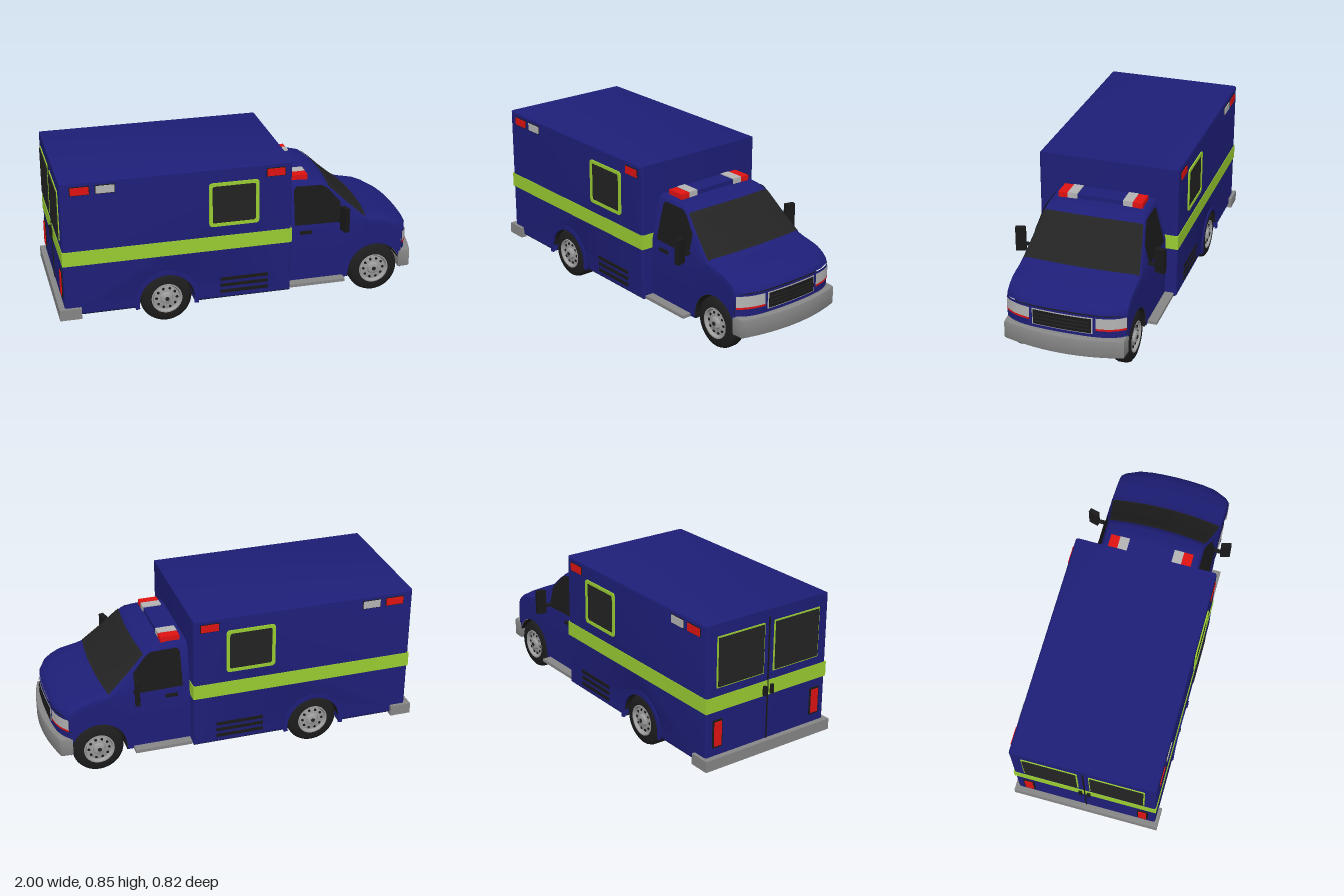
import * as THREE from 'three';
import { toCreasedNormals } from 'three/addons/utils/BufferGeometryUtils.js';

export function createModel() {
  const root = new THREE.Group();
  root.name = 'ambulance';
  const mat = (name, color) => {
    const m = new THREE.MeshStandardMaterial({ color });
    m.name = name;
    return m;
  };
  const blue = mat('blue paint', 0x1e1e78), lime = mat('lime stripe', 0x9acd32);
  const glass = mat('dark glass', 0x232323), black = mat('black trim', 0x191919);
  const tyreMat = mat('tyre rubber', 0x1d1d1d), steel = mat('steel', 0x9c9c9c);
  const grey = mat('bumper grey', 0x868686), lamp = mat('clear lamp', 0xb4b4b4);
  const red = mat('red lamp', 0xe01212);
  black.side = THREE.DoubleSide;

  const add = (name, geo, m, parent = root) => {
    const mesh = new THREE.Mesh(geo, m);
    mesh.name = name;
    parent.add(mesh);
    return mesh;
  };
  const box = (name, m, [x0, x1], [y0, y1], [z0, z1]) => {
    const g = new THREE.BoxGeometry(x1 - x0, y1 - y0, Math.abs(z1 - z0));
    return add(name, g.translate((x0 + x1) / 2, (y0 + y1) / 2, (z0 + z1) / 2), m);
  };
  const both = fn => [1, -1].forEach(fn);
  const sideBox = (name, m, xs, ys, [z0, z1]) => both(s => box(name, m, xs, ys, [z0 * s, z1 * s]));
  const clamp = THREE.MathUtils.clamp;
  const ramp = (x, a, b) => clamp((x - a) / (b - a), 0, 1);

  const REAR = -0.43, FRONT = 0.745, AXLE = 0.14, ARCH = 0.15;

  // Rear body: side outline with wheel arch, extruded across
  const b = 0.012;
  const outline = new THREE.Shape();
  outline.moveTo(-0.97, 0.105);
  outline.lineTo(REAR - ARCH, 0.105);
  outline.lineTo(REAR - ARCH, AXLE);
  outline.absarc(REAR, AXLE, ARCH, Math.PI, 0, true);
  outline.lineTo(REAR + ARCH, 0.105);
  outline.lineTo(0.245, 0.105);
  outline.lineTo(0.245, 0.85);
  outline.lineTo(-0.97, 0.85);
  const bodyGeo = new THREE.ExtrudeGeometry(outline, {
    depth: 0.77 - 2 * b, bevelSize: b, bevelThickness: b, bevelOffset: -b, bevelSegments: 3, curveSegments: 24,
  }).translate(0, 0, -0.385 + b);
  add('rearBody', toCreasedNormals(bodyGeo, 0.6), blue);
  box('stripe', lime, [-0.973, 0.248], [0.39, 0.47], [-0.388, 0.388]);

  // Cab: cross-sections lofted along x
  const profile = [[0.23, 0.68], [0.33, 0.68], [0.42, 0.674], [0.48, 0.66], [0.515, 0.635], [0.6, 0.555], [0.7, 0.47],
    [0.74, 0.455], [0.84, 0.432], [0.91, 0.408], [0.95, 0.385], [0.965, 0.362]];
  const topY = x => {
    const i = clamp(profile.findIndex(p => p[0] >= x), 1, profile.length - 1);
    const [p, q] = [profile[i - 1], profile[i]];
    return THREE.MathUtils.lerp(p[1], q[1], ramp(x, p[0], q[0]));
  };
  const halfWidth = y => 0.32 * (1 - 0.72 * Math.max(0, y - 0.44));
  const bow = (x, z) => {
    const u = Math.abs(z) / 0.32;
    return 0.025 * u * u * ramp(x, 0.4, 0.5) + 0.045 * u ** 6 * ramp(x, 0.85, 0.965);
  };
  const bottomY = x => {
    const d = x - bow(x, 0.32) - FRONT;
    return Math.abs(d) < ARCH ? AXLE + Math.sqrt(ARCH * ARCH - d * d) : d < 0 ? 0.11 : 0.13;
  };
  const r = 0.024;
  const section = (x, sill = true) => {
    const t = topY(x), w = halfWidth(t), half = [];
    if (sill) {
      const yb = bottomY(x), belt = Math.min(0.44, t - 0.05);
      half.push([yb, 0.32], [(yb + belt) / 2, 0.32], [belt, 0.32], [t - r, halfWidth(t - r)]);
    }
    half.push([t - 0.5 * r, w - 0.13 * r]);
    [1, 0.75, 0.5, 0.25].forEach(f => half.push([t - 0.005 * f * f, (w - r) * f]));
    const pts = [...half, [t, 0], ...half.map(([y, z]) => [y, -z]).reverse()];
    return pts.map(([y, z]) => [x - bow(x, z), y, z]);
  };
  const loft = rings => {
    const n = rings[0].length, idx = [];
    for (let i = 0; i < rings.length - 1; i++) {
      for (let j = 0; j < n - 1; j++) {
        const a = i * n + j, c = a + n;
        idx.push(a, c, a + 1, c, c + 1, a + 1);
      }
    }
    const g = new THREE.BufferGeometry();
    g.setAttribute('position', new THREE.Float32BufferAttribute(rings.flat(2), 3));
    g.setIndex(idx);
    return toCreasedNormals(g, 0.6);
  };
  const stations = Array.from({ length: 106 }, (_, i) => 0.23 + 0.007 * i);
  add('cab', loft(stations.map(x => section(x))), blue);
  const screen = stations.filter(x => x > 0.492 && x < 0.708).map(x => section(x, false)
    .map(([px, y, z]) => [px + 0.003, y + 0.003, z * 1.004]));
  add('windscreen', loft(screen), glass);

  // Nose and its details follow the same bowed front
  const bent = (name, m, [z0, z1], [y0, y1], off) => {
    const g = new THREE.PlaneGeometry(z1 - z0, y1 - y0, 24, 6).rotateY(Math.PI / 2);
    g.translate(0, (y0 + y1) / 2, (z0 + z1) / 2);
    const p = g.attributes.position;
    for (let i = 0; i < p.count; i++) p.setX(i, 0.965 + off - bow(0.965, p.getZ(i)));
    g.computeVertexNormals();
    return add(name, g, m);
  };
  bent('nose', blue, [-0.319, 0.319], [0.13, 0.355], 0);
  bent('grilleFrame', lamp, [-0.16, 0.16], [0.254, 0.346], 0.004);
  bent('grille', black, [-0.154, 0.154], [0.259, 0.341], 0.007);
  [0.28, 0.3, 0.32].forEach(y => bent('grilleBar', glass, [-0.145, 0.145], [y - 0.004, y + 0.004], 0.01));
  both(s => {
    const span = (a, c) => (s > 0 ? [a, c] : [-c, -a]);
    bent('headlight', lamp, span(0.175, 0.318), [0.286, 0.346], 0.005);
    bent('headlightStrip', red, span(0.175, 0.318), [0.275, 0.286], 0.005);
  });

  // Front bumper
  const plan = new THREE.Shape();
  plan.moveTo(0.885, 0.322);
  plan.lineTo(0.95, 0.318);
  plan.quadraticCurveTo(1.05, 0, 0.95, -0.318);
  plan.lineTo(0.885, -0.322);
  const bumper = new THREE.ExtrudeGeometry(plan, {
    depth: 0.085, bevelSize: 0.01, bevelThickness: 0.01, bevelOffset: -0.01, bevelSegments: 2, curveSegments: 20,
  });
  add('frontBumper', toCreasedNormals(bumper.rotateX(-Math.PI / 2).translate(0, 0.14, 0), 0.6), grey);

  // Rear bumper, running boards, floor
  box('rearBumper', grey, [-1, -0.965], [0.09, 0.15], [-0.4, 0.4]);
  sideBox('bumperEnd', grey, [-1, -0.885], [0.09, 0.15], [0.37, 0.403]);
  sideBox('runningBoard', grey, [0.25, 0.56], [0.108, 0.125], [0.28, 0.37]);
  box('rearFloor', black, [-0.96, REAR - ARCH], [0.102, 0.11], [-0.375, 0.375]);
  box('midFloor', black, [REAR + ARCH, 0.242], [0.102, 0.11], [-0.375, 0.375]);
  box('axleTunnel', black, [REAR - 0.16, REAR + 0.16], [0.102, 0.31], [-0.21, 0.21]);
  box('cabFloor', black, [0.24, FRONT - ARCH], [0.108, 0.13], [-0.315, 0.315]);
  box('engineBay', black, [0.55, 0.93], [0.11, 0.34], [-0.21, 0.21]);

  // Wheels and arches
  const tyrePts = (w) => [[0.08, 0], [0.085, 0], [0.118, 0.004], [0.132, 0.014], [0.138, 0.03], [0.138, w - 0.03],
    [0.132, w - 0.014], [0.118, w - 0.004], [0.085, w], [0.08, w - 0.01], [0.078, w - 0.025]];
  const lathe = pts => toCreasedNormals(new THREE.LatheGeometry(
    pts.map(p => new THREE.Vector2(...p)), 40).rotateX(Math.PI / 2), 0.7);
  const wheel = (x, outer, s) => {
    const g = new THREE.Group(), w = outer - 0.22;
    g.name = 'wheel';
    add('tyre', lathe(tyrePts(w)), tyreMat, g);
    add('rim', lathe([[0.084, w - 0.012], [0.082, w], [0.076, w], [0.068, w - 0.016], [0.05, w - 0.012],
      [0.034, w - 0.01], [0.03, w], [0.022, w + 0.004], [0, w + 0.004]].reverse()), steel, g).material.side = THREE.DoubleSide;
    add('hubCap', new THREE.CylinderGeometry(0.011, 0.011, 0.004, 16).rotateX(Math.PI / 2)
      .translate(0, 0, w + 0.005), glass, g);
    for (let i = 0; i < 10; i++) {
      const a = i * Math.PI / 5;
      add('rimHole', new THREE.CylinderGeometry(0.007, 0.007, 0.006, 10).rotateX(Math.PI / 2)
        .translate(0.055 * Math.cos(a), 0.055 * Math.sin(a), w - 0.012), black, g);
    }
    g.position.set(x, 0.138, 0.22 * s);
    if (s < 0) g.rotation.y = Math.PI;
    root.add(g);
  };
  const flare = new THREE.Shape();
  flare.absarc(0, 0, 0.172, -0.2, Math.PI + 0.2, false);
  flare.absarc(0, 0, 0.149, Math.PI + 0.2, -0.2, true);
  both(s => {
    wheel(REAR, 0.382, s);
    wheel(FRONT, 0.318, s);
    [[REAR, 0.383], [FRONT, 0.318]].forEach(([x, z]) => {
      const d = z - 0.2;
      const liner = new THREE.CylinderGeometry(0.148, 0.148, d, 32, 1, true, Math.PI / 2, Math.PI);
      add('archLiner', liner.rotateX(Math.PI / 2).translate(x, AXLE, s * (0.2 + d / 2)), black);
    });
    const f = new THREE.ExtrudeGeometry(flare, { depth: 0.01, bevelEnabled: false, curveSegments: 28 });
    add('rearFlare', f.translate(REAR, AXLE - 0.01, s > 0 ? 0.381 : -0.391), blue);
  });

  // Side windows of the rear body, with frames
  const rounded = (w, h, c, S = THREE.Shape) => {
    const p = new S();
    p.absarc(w - c, h - c, c, 0, Math.PI / 2);
    p.absarc(c - w, h - c, c, Math.PI / 2, Math.PI);
    p.absarc(c - w, c - h, c, Math.PI, 1.5 * Math.PI);
    p.absarc(w - c, c - h, c, 1.5 * Math.PI, 2 * Math.PI);
    return p;
  };
  const frame = rounded(0.134, 0.122, 0.018);
  frame.holes.push(rounded(0.116, 0.104, 0.012, THREE.Path));
  both(s => {
    const g = new THREE.ExtrudeGeometry(frame, { depth: 0.008, bevelEnabled: false });
    add('windowFrame', g.translate(-0.067, 0.65, s > 0 ? 0.384 : -0.392), lime);
  });
  sideBox('bodyWindow', glass, [-0.185, 0.051], [0.544, 0.756], [0.382, 0.388]);

  // Marker lamps and vents
  [[-0.915, red], [-0.785, lamp], [0.11, red]].forEach(([x, m]) => {
    sideBox('markerSurround', black, [x - 0.004, x + 0.099], [0.778, 0.826], [0.382, 0.387]);
    sideBox('markerLamp', m, [x, x + 0.095], [0.782, 0.822], [0.383, 0.391]);
  });
  [0.145, 0.181, 0.217].forEach(y => sideBox('vent', black, [-0.14, 0.12], [y - 0.009, y + 0.009], [0.382, 0.389]));

  // Back doors: windows, lamps, seam, handles
  sideBox('backWindowFrame', lime, [-0.975, -0.968], [0.515, 0.785], [0.03, 0.325]);
  sideBox('backWindow', glass, [-0.98, -0.97], [0.522, 0.778], [0.037, 0.318]);
  sideBox('tailLampSurround', black, [-0.975, -0.968], [0.195, 0.345], [0.285, 0.345]);
  sideBox('tailLamp', red, [-0.98, -0.97], [0.205, 0.335], [0.293, 0.337]);
  box('doorSeam', black, [-0.975, -0.968], [0.15, 0.81], [-0.003, 0.003]);
  sideBox('doorLatch', black, [-0.984, -0.97], [0.395, 0.445], [0.014, 0.032]);

  // Cab door windows lie on the inward-leaning sides
  const pane = [[0.285, 0.45], [0.545, 0.445], [0.545, 0.555], [0.475, 0.633], [0.445, 0.652], [0.305, 0.655], [0.288, 0.64]];
  both(s => {
    const g = new THREE.ShapeGeometry(new THREE.Shape(pane.map(p => new THREE.Vector2(...p))));
    const p = g.attributes.position;
    for (let i = 0; i < p.count; i++) p.setZ(i, s * (halfWidth(p.getY(i)) + 0.004));
    g.computeVertexNormals();
    add('doorWindow', g, black);
    const m = box('mirror', black, [-0.013, 0.013], [-0.067, 0.067], [-0.027, 0.027]);
    m.position.set(0.545, 0.485, s * 0.38);
    m.rotation.y = s * 0.25;
  });
  sideBox('mirrorArm', black, [0.53, 0.55], [0.45, 0.462], [0.3, 0.37]);
  sideBox('doorHandle', black, [0.315, 0.38], [0.396, 0.413], [0.315, 0.33]);

  // Roof light bar
  box('lightBarBase', blue, [0.275, 0.375], [0.67, 0.7], [-0.125, 0.125]);
  sideBox('roofLampClear', lamp, [0.275, 0.378], [0.67, 0.705], [0.125, 0.178]);
  sideBox('roofLampRed', red, [0.275, 0.378], [0.668, 0.702], [0.178, 0.23]);

  return root;
}
